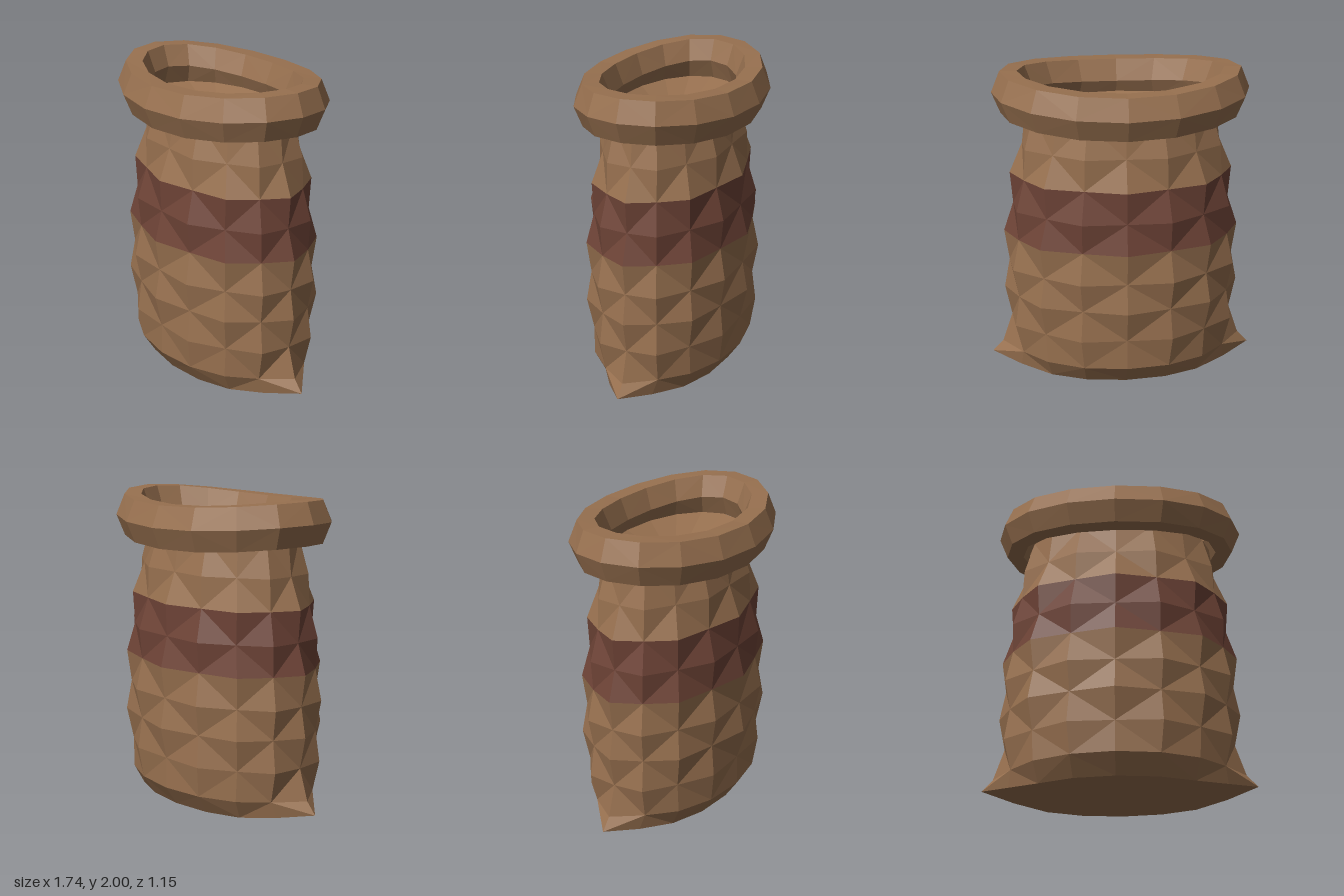
import * as THREE from 'three';

const N = 16;
const burlap = new THREE.MeshStandardMaterial({ name: 'burlap brown', color: 0x97704f, flatShading: true });
const red = new THREE.MeshStandardMaterial({ name: 'dark red band', color: 0x6f4437, flatShading: true });

// elliptical ring of N points
function ring(a, b, yAt) {
  return Array.from({ length: N }, (_, i) => {
    const t = (i / N) * Math.PI * 2;
    const y = typeof yAt === 'function' ? yAt(t) : yAt;
    return new THREE.Vector3(a * Math.cos(t), y, b * Math.sin(t));
  });
}

// faceted skin between rings; diagonals alternate so that they join the dents
function skin(name, rings, material, offset = 0) {
  const pos = [];
  const tri = (...p) => {
    if (new THREE.Triangle(...p).getArea() > 1e-7) p.forEach(v => pos.push(v.x, v.y, v.z));
  };
  for (let j = 0; j < rings.length - 1; j++) {
    for (let i = 0; i < N; i++) {
      const k = (i + 1) % N;
      const a = rings[j][i], b = rings[j][k], c = rings[j + 1][k], d = rings[j + 1][i];
      if ((i + j + offset) % 2) { tri(a, d, c); tri(a, c, b); }
      else { tri(a, d, b); tri(b, d, c); }
    }
  }
  const geo = new THREE.BufferGeometry();
  geo.setAttribute('position', new THREE.Float32BufferAttribute(pos, 3));
  geo.computeVertexNormals();
  const mesh = new THREE.Mesh(geo, material);
  mesh.name = name;
  return mesh;
}

export function createModel() {
  const sack = new THREE.Group();
  sack.name = 'sack';

  // body outline: height, half width, half depth
  const rows = [
    [0.125, 0.72, 0.485], [0.325, 0.77, 0.515], [0.53, 0.775, 0.525],
    [0.725, 0.775, 0.525], [0.93, 0.768, 0.517], [1.125, 0.74, 0.502],
    [1.33, 0.72, 0.475], [1.53, 0.672, 0.435], [1.75, 0.61, 0.365],
  ];
  const body = rows.map(([y, a, b], j) => {
    const outer = ring(a, b, y);
    const inner = ring(a - 0.037, b - 0.035, y);
    const dented = j > 0 && j < rows.length - 1;
    return outer.map((p, i) => (dented && (i + j) % 2 ? inner[i] : p));
  });

  // base ring, with the side corners pulled out into points
  const base = ring(0.68, 0.4, 0);
  for (const s of [0, N / 2]) {
    const side = s ? -1 : 1;
    base[s].set(0.87 * side, 0.05, 0);
    for (const n of [s + 1, (s + N - 1) % N]) {
      base[n].x = 0.68 * side;
      base[n].y = 0.02;
    }
    body[0][s].x = 0.8 * side;
  }

  sack.add(
    skin('sackBottom', [ring(0, 0, 0), base], burlap),
    skin('lowerBody', [base, ...body.slice(0, 5)], burlap, 1),
    skin('colourBand', body.slice(4, 7), red),
    skin('upperBody', body.slice(6), burlap),
  );

  // contents surface, sagging toward the middle
  sack.add(skin('innerFloor', [ring(0.61, 0.365, 1.75), ring(0, 0, 1.58)], burlap));

  // rolled rim: six-sided roll, higher at the sides than at front and back
  const section = [[-0.055, -0.135], [0.055, -0.135], [0.11, 0], [0.055, 0.135], [-0.055, 0.135], [-0.11, 0], [-0.055, -0.135]];
  const rim = section.map(([r, h]) =>
    ring(0.71 + r, 0.467 + r, t => 1.82 + h + 0.045 * Math.cos(t) ** 2));
  sack.add(skin('rolledRim', rim, burlap));

  return sack;
}
